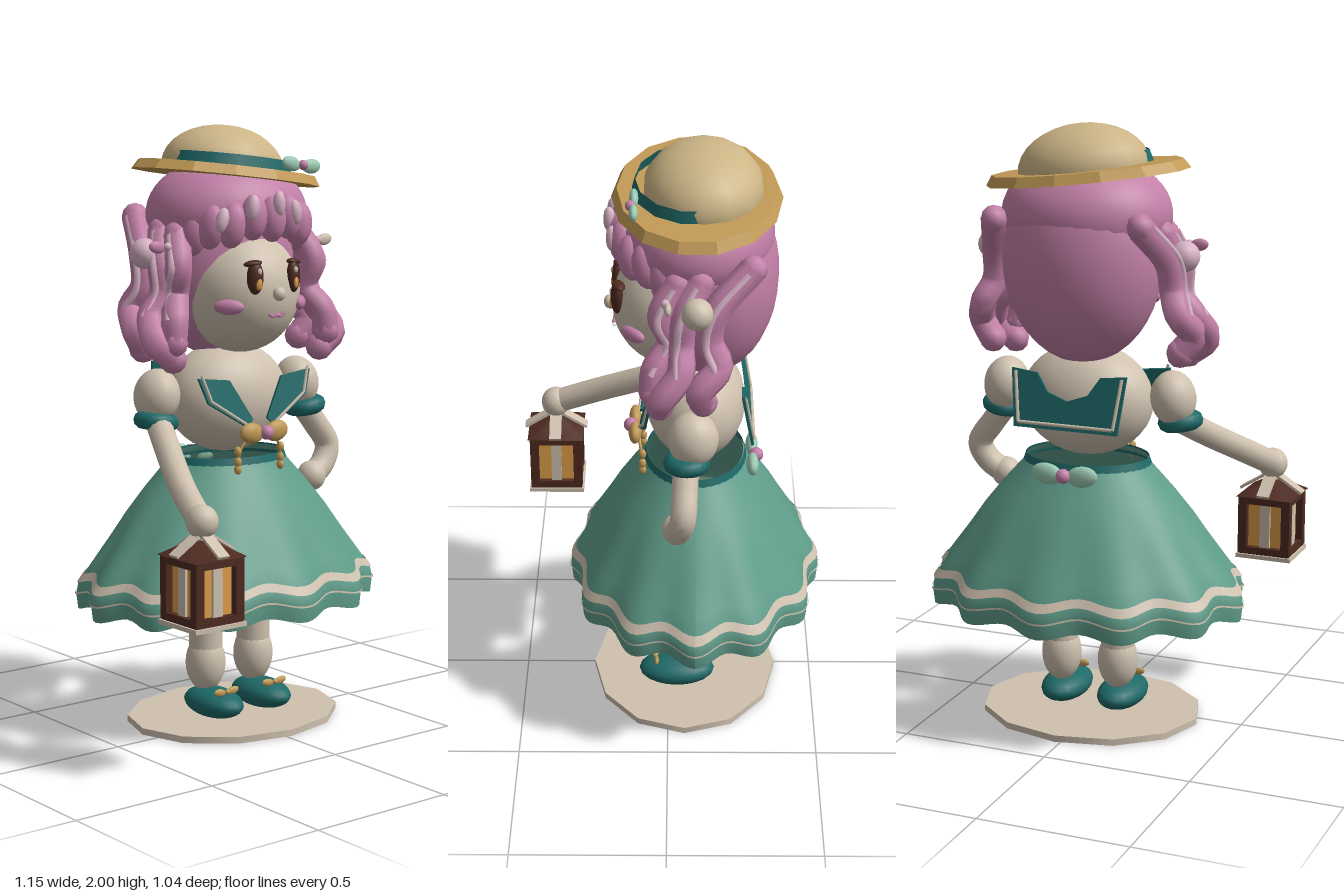
import * as THREE from 'three';

const V = (p) => new THREE.Vector3(...p);
const paint = (name, color) => {
  const m = new THREE.MeshStandardMaterial({ color });
  m.name = name;
  return m;
};
const CX = 0.02; // body centre line

export function createModel() {
  const skin = paint('cream', 0xcfc1af), green = paint('skirt green', 0x5f9c8a);
  const teal = paint('dark teal', 0x1e6a68), pink = paint('rose pink', 0xc380a8);
  const pale = paint('pale pink', 0xd8b3c6), straw = paint('straw', 0xccb586);
  const gold = paint('honey gold', 0xc29a56), brown = paint('dark brown', 0x4d2a20);
  const amber = paint('amber', 0xdd9c48), mint = paint('mint', 0x9ccab2);
  for (const m of [green, teal, skin, mint]) m.side = THREE.DoubleSide;
  const root = new THREE.Group();
  root.name = 'figure';

  // helpers
  const add = (name, geo, mat, pos = [0, 0, 0], rot = [0, 0, 0], parent = root) => {
    const m = new THREE.Mesh(geo, mat);
    m.name = name;
    m.position.set(...pos);
    m.rotation.set(...rot);
    parent.add(m);
    return m;
  };
  const ball = (name, mat, pos, r, rot, parent, seg = 20) =>
    add(name, new THREE.SphereGeometry(1, seg, Math.ceil(seg * 0.7)).scale(...r), mat, pos, rot, parent);
  const tube = (name, mat, pts, r, sides = 10, parent = root) =>
    add(name, new THREE.TubeGeometry(new THREE.CatmullRomCurve3(pts.map(V)), 24, r, sides), mat, undefined, undefined, parent);
  const box = (name, mat, size, pos, rot, parent) => add(name, new THREE.BoxGeometry(...size), mat, pos, rot, parent);
  const plate = (name, mat, pts, depth, pos, rot) => {
    const shape = new THREE.Shape(pts.map(([x, y]) => new THREE.Vector2(x, y)));
    return add(name, new THREE.ExtrudeGeometry(shape, { depth, bevelEnabled: false }), mat, pos, rot);
  };
  // two leaves or loops with a round centre
  const bow = (name, mat, knot, pos, w, h, parent) => {
    const g = new THREE.Group();
    g.name = name;
    g.position.set(...pos);
    for (const s of [-1, 1]) ball('bowLoop', mat, [s * w * 0.55, 0, 0], [w * 0.5, h, h * 0.6], [0, 0, s * 0.15], g, 12);
    ball('bowKnot', knot, [0, 0, h * 0.4], [h * 0.7, h * 0.7, h * 0.7], undefined, g, 10);
    (parent || root).add(g);
    return g;
  };

  // base
  add('base', new THREE.CylinderGeometry(0.38, 0.38, 0.022, 12).scale(1, 1, 0.835), skin, [CX, 0.011, -0.057]);

  // fluted skirt: rows of [height, radius], waves growing to the hem
  const flute = (name, rows, mat, grow = 0) => {
    const n = 120, pos = [], idx = [];
    rows.forEach(([y, r], j) => {
      const t = Math.min(1, Math.max(0, (0.9 - y) / 0.4));
      for (let i = 0; i <= n; i++) {
        const a = (i / n) * Math.PI * 2, w = Math.cos(12 * a);
        const k = (r + grow) * (1 - 0.035 * t * (1 - w));
        pos.push(CX + k * Math.cos(a), y - 0.011 * t * w, -0.09 + 0.78 * k * Math.sin(a));
        if (j && i < n) {
          const b = j * (n + 1) + i, u = b - n - 1;
          idx.push(u, u + 1, b, u + 1, b + 1, b);
        }
      }
    });
    const g = new THREE.BufferGeometry();
    g.setAttribute('position', new THREE.Float32BufferAttribute(pos, 3));
    g.setIndex(idx);
    g.computeVertexNormals();
    return add(name, g, mat);
  };
  flute('skirt', [[0.91, 0.205], [0.88, 0.225], [0.8, 0.3], [0.72, 0.368], [0.65, 0.42], [0.57, 0.483],
    [0.5, 0.538], [0.46, 0.546], [0.41, 0.54]], green);
  flute('hemRibbon', [[0.527, 0.517], [0.5, 0.538]], skin, 0.005);
  flute('hemPiping', [[0.466, 0.545], [0.46, 0.546]], skin, 0.005);
  flute('petticoat', [[0.47, 0.532], [0.415, 0.53]], mint);
  add('waistband', new THREE.CylinderGeometry(0.21, 0.222, 0.035, 40, 1, true).scale(1, 1, 0.78), teal, [CX, 0.897, -0.09]);
  bow('backFlower', mint, pink, [CX, 0.885, -0.28], 0.11, 0.035).rotation.y = Math.PI;

  // torso
  ball('torso', skin, [CX, 1.1, -0.09], [0.225, 0.185, 0.163], undefined, undefined, 28);

  for (const s of [-1, 1]) {
    const X = (d) => CX + s * d;
    // legs and shoes
    add('upperLeg', new THREE.CylinderGeometry(0.06, 0.057, 0.42, 16), skin, [X(0.103), 0.46, -0.075]);
    ball('lowerLeg', skin, [X(0.103), 0.2, -0.075], [0.068, 0.1, 0.068]);
    ball('shoe', teal, [X(0.103), 0.07, -0.03], [0.079, 0.05, 0.13]);
    bow('shoeBow', gold, gold, [X(0.103), 0.12, 0.04], 0.05, 0.013);

    // puff sleeve and cuff
    ball('puffSleeve', skin, [X(0.297), 1.125, -0.08], [0.074, 0.09, 0.082], [0, 0, s * 0.15]);
    add('cuff', new THREE.TorusGeometry(0.046, 0.029, 10, 20).rotateX(Math.PI / 2), teal, [X(0.315), 1.045, -0.06], [0, 0, s * 0.15]);

    // sailor collar lapel with piping
    const lapel = [[0.235, 0.09], [0.11, 0.075], [0.03, -0.06], [0.055, -0.085], [0.205, 0.005]];
    plate('lapel', teal, lapel.map(([x, y]) => [s * x, y]), 0.009, [CX, 1.1, 0.072], [-0.18, 0, 0]);
    const edge = [lapel[3], lapel[4], lapel[0]];
    for (let i = 0; i < 2; i++) {
      const pts = [edge[i], edge[i + 1]].map(([x, y]) => [X(x * 0.95), 1.1 + y + 0.008, 0.082 - y * 0.18]);
      tube('lapelPiping', skin, pts, 0.005, 6);
    }

    // tassels under the bow
    tube('tasselCord', gold, [[X(0.04), 1.0, 0.1], [X(0.08), 0.95, 0.09], [X(0.09), 0.9, 0.085]], 0.005, 6);
    for (const y of [0.94, 0.905, 0.88]) ball('tasselBead', gold, [X(0.09), y, 0.085], [0.013, 0.017, 0.013], undefined, undefined, 8);

    // eyes, brows, cheeks
    ball('eye', brown, [X(0.08), 1.515, 0.162], [0.028, 0.055, 0.02], [0, s * 0.35, 0]);
    ball('eyeGlow', amber, [X(0.078), 1.495, 0.179], [0.012, 0.02, 0.006], [0, s * 0.35, 0], undefined, 10);
    ball('eyeSpark', skin, [X(0.075), 1.535, 0.18], [0.008, 0.011, 0.006], undefined, undefined, 8);
    ball('lash', brown, [X(0.085), 1.56, 0.156], [0.032, 0.011, 0.02], [0, s * 0.35, -s * 0.12], undefined, 10);
    ball('cheek', pink, [X(0.148), 1.42, 0.112], [0.05, 0.025, 0.02], [0, s * 0.8, 0], undefined, 14);

    // curled side locks
    const locks = [
      [[0.26, 1.66, -0.1], [0.3, 1.56, -0.05], [0.3, 1.46, -0.04], [0.35, 1.39, -0.04], [0.375, 1.31, 0.02], [0.31, 1.255, 0.025]],
      [[0.25, 1.7, -0.26], [0.3, 1.58, -0.15], [0.31, 1.48, -0.13], [0.34, 1.41, -0.16], [0.37, 1.34, -0.1], [0.33, 1.28, -0.11]],
      [[0.25, 1.65, -0.03], [0.28, 1.55, 0.02], [0.27, 1.46, -0.01], [0.31, 1.38, 0.04], [0.32, 1.31, 0.045]],
    ];
    for (const pts of locks) {
      const path = pts.map(([x, y, z]) => [X(x), y, z]), end = path[path.length - 1];
      tube('sideLock', pink, path, 0.045, 7);
      ball('lockTip', pink, end, [0.047, 0.047, 0.047], undefined, undefined, 8);
      ball('lockRoot', pink, path[0], [0.045, 0.045, 0.045], undefined, undefined, 8);
      tube('lockShine', pale, path.slice(0, 4).map(([x, y, z]) => [x + s * 0.037, y, z + 0.012]), 0.013, 6);
    }
    ball('hairBead', s > 0 ? skin : pale, [X(0.335), 1.59, -0.09], [0.05, 0.05, 0.05], undefined, undefined, 14);
    bow('hairBow', s > 0 ? skin : pink, pale, [X(0.315), 1.615, 0], 0.065, 0.02);
  }

  // back collar with piping
  const flap = [[-0.2, 0.1], [-0.11, 0.09], [-0.07, 0.03], [0, 0.005], [0.07, 0.03], [0.11, 0.09], [0.2, 0.1], [0.18, -0.09], [-0.18, -0.09]];
  plate('backCollar', teal, flap, 0.009, [CX, 1.12, -0.262], [0.18, 0, 0]);
  const rim = [[-0.185, 0.09], [-0.165, -0.072], [0.165, -0.072], [0.185, 0.09]];
  for (let i = 0; i < 3; i++) {
    tube('collarPiping', skin, [rim[i], rim[i + 1]].map(([x, y]) => [CX + x, 1.12 + y, -0.264 + y * 0.18]), 0.006, 6);
  }
  bow('chestBow', gold, pink, [CX, 1.0, 0.11], 0.095, 0.035);

  // arms and hands
  tube('lanternArm', skin, [[-0.29, 1.05, -0.06], [-0.35, 0.97, 0.08], [-0.42, 0.88, 0.25], [-0.463, 0.81, 0.39]], 0.042, 12);
  ball('lanternHand', skin, [-0.463, 0.805, 0.405], [0.051, 0.053, 0.051]);
  tube('hipArm', skin, [[0.325, 1.05, -0.06], [0.38, 0.98, -0.055], [0.432, 0.9, -0.05], [0.405, 0.84, -0.04], [0.35, 0.8, -0.03]], 0.042, 12);
  ball('hipHand', skin, [0.345, 0.8, -0.03], [0.05, 0.052, 0.05]);

  // lantern
  const lantern = new THREE.Group();
  lantern.name = 'lantern';
  lantern.position.set(-0.463, 0, 0.405);
  root.add(lantern);
  box('glass', amber, [0.135, 0.2, 0.135], [0, 0.6, 0], undefined, lantern);
  box('floor', skin, [0.195, 0.014, 0.195], [0, 0.49, 0], undefined, lantern);
  box('sill', brown, [0.18, 0.025, 0.18], [0, 0.509, 0], undefined, lantern);
  box('lintel', brown, [0.18, 0.03, 0.18], [0, 0.69, 0], undefined, lantern);
  add('roof', new THREE.CylinderGeometry(0.03, 0.14, 0.05, 4).rotateY(Math.PI / 4), brown, [0, 0.725, 0], undefined, lantern);
  add('handle', new THREE.CylinderGeometry(0.022, 0.022, 0.05, 10), skin, [0, 0.755, 0], undefined, lantern);
  for (let i = 0; i < 4; i++) {
    const side = new THREE.Group();
    side.name = 'lanternSide';
    side.rotation.y = (i * Math.PI) / 2;
    lantern.add(side);
    box('post', brown, [0.03, 0.2, 0.03], [0.077, 0.6, 0.077], undefined, side);
    box('strap', skin, [0.036, 0.2, 0.009], [0, 0.6, 0.075], undefined, side);
    box('roofStrip', skin, [0.042, 0.009, 0.1], [0, 0.737, 0.067], [0.56, 0, 0], side);
  }

  // head and face
  ball('head', skin, [CX, 1.46, -0.02], [0.2, 0.205, 0.2], undefined, undefined, 28);
  ball('nose', skin, [CX, 1.46, 0.187], [0.023, 0.023, 0.02], undefined, undefined, 12);
  tube('mouth', pink, [[-0.012, 1.397, 0.172], [0.004, 1.387, 0.173], [CX, 1.391, 0.176], [0.036, 1.387, 0.173], [0.052, 1.397, 0.172]], 0.006, 6);

  // hair
  ball('backHair', pink, [CX, 1.57, -0.13], [0.265, 0.34, 0.222], undefined, undefined, 28);
  add('hairCap', new THREE.SphereGeometry(1, 28, 14, 0, Math.PI * 2, 0, Math.PI * 0.6).scale(0.282, 0.19, 0.245), pink, [CX, 1.71, -0.09]);
  for (let i = 0; i < 9; i++) {
    const a = ((i - 4) / 4) * 1.3, y = 1.7 - 0.05 * Math.sin(a) ** 2 + (i % 2) * 0.012;
    ball('fringeLock', pink, [CX + 0.22 * Math.sin(a), y, -0.04 + 0.19 * Math.cos(a)], [0.046, 0.075, 0.045],
      [0, a, 0.22 * Math.sin(a)], undefined, 12);
  }
  for (const [x, y, z] of [[-0.165, 1.7, 0.125], [-0.08, 1.74, 0.175], [0.02, 1.75, 0.185], [0.095, 1.72, 0.175]]) {
    ball('fringeShine', pale, [x, y, z], [0.022, 0.042, 0.02], [0, 0, (0.02 - x) * -1.6], undefined, 10);
  }

  // tilted straw hat
  const hat = new THREE.Group();
  hat.name = 'hat';
  hat.position.set(CX, 1.843, -0.09);
  hat.rotation.z = -0.115;
  root.add(hat);
  const brim = new THREE.CylinderGeometry(0.32, 0.342, 0.032, 14).toNonIndexed().scale(1, 1, 0.785);
  brim.computeVertexNormals();
  add('brim', brim, gold, undefined, undefined, hat);
  add('crown', new THREE.SphereGeometry(1, 14, 8, 0, Math.PI * 2, 0, Math.PI / 2).scale(0.217, 0.142, 0.19), straw, [0, 0.015, -0.02], undefined, hat);
  add('hatRibbon', new THREE.CylinderGeometry(0.207, 0.218, 0.04, 14, 1, true).scale(1, 1, 0.9), teal, [0, 0.034, 0.008], undefined, hat);
  bow('hatFlower', mint, pink, [0.155, 0.045, 0.195], 0.078, 0.024, hat);

  return root;
}
